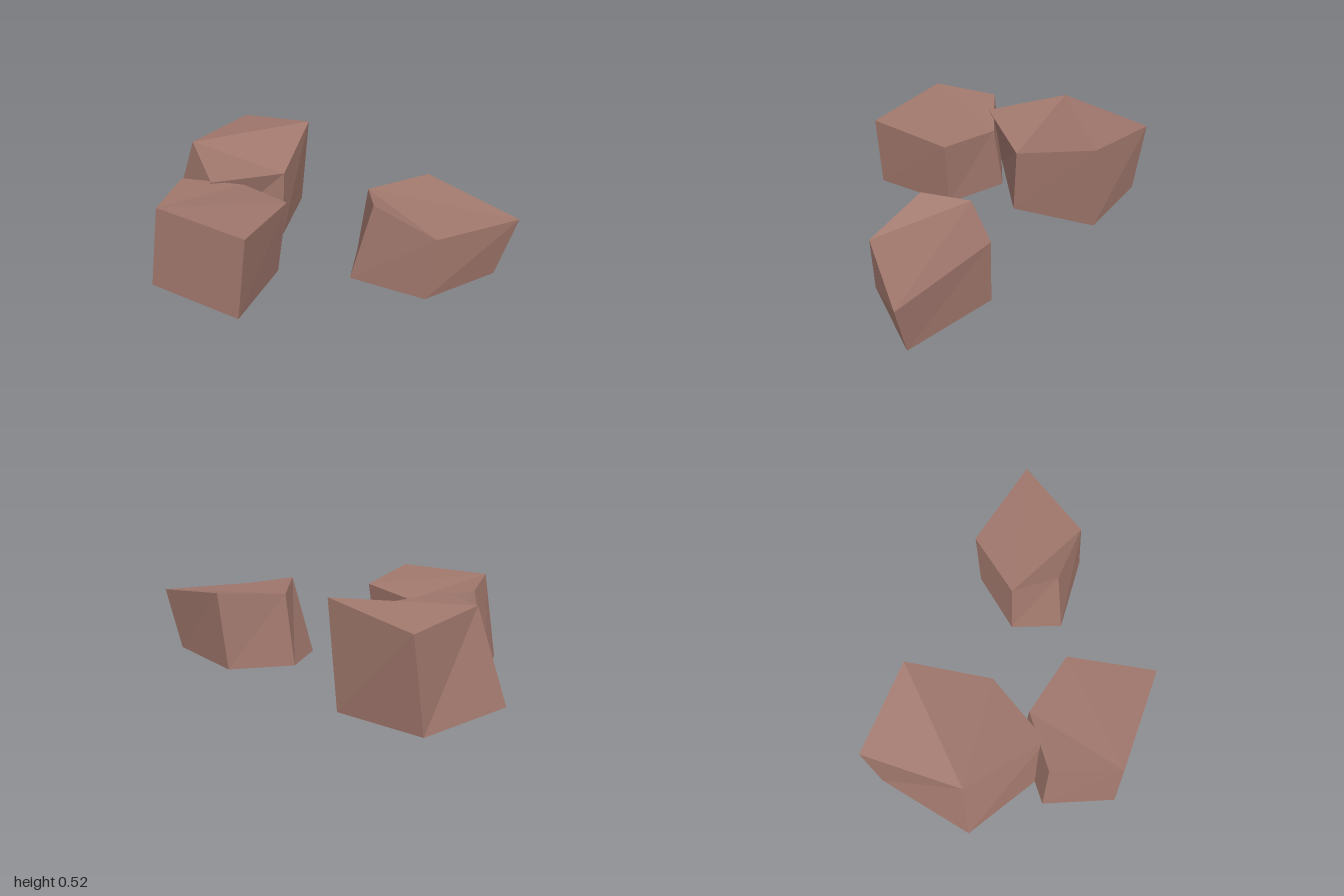
import * as THREE from 'three';

// Faceted boulder from two matching rings: base corners [x, z] and top corners [x, y, z],
// both running counter-clockwise seen from above.
function makeRock(name, base, top, material) {
  const b = base.map(([x, z]) => [x, 0, z]);
  const n = b.length;
  const pos = [];
  const tri = (...corners) => corners.forEach((c) => pos.push(...c));
  for (let i = 0; i < n; i++) {
    const j = (i + 1) % n;
    tri(b[i], b[j], top[j]);
    tri(b[i], top[j], top[i]);
  }
  // Top and bottom caps fan out from the first corner
  for (let i = 1; i < n - 1; i++) {
    tri(top[0], top[i], top[i + 1]);
    tri(b[0], b[i + 1], b[i]);
  }
  const geometry = new THREE.BufferGeometry();
  geometry.setAttribute('position', new THREE.Float32BufferAttribute(pos, 3));
  geometry.computeVertexNormals(); // unshared corners give flat faces
  const mesh = new THREE.Mesh(geometry, material);
  mesh.name = name;
  return mesh;
}

export function createModel() {
  const group = new THREE.Group();
  group.name = 'rocks';
  const stone = new THREE.MeshStandardMaterial({ color: 0xa0776c });
  stone.name = 'reddish brown stone';

  group.add(
    makeRock('frontRock',
      [[-0.7, 0.58], [-0.157, 0.68], [-0.155, 0.225], [-0.47, 0.04], [-0.785, 0.21]],
      [[-0.63, 0.457, 0.57], [-0.107, 0.445, 0.665], [-0.1, 0.412, 0.213], [-0.41, 0.39, 0.075], [-0.695, 0.443, 0.22]],
      stone),
    makeRock('backRock',
      [[-1, -0.14], [-0.68, 0.15], [-0.283, -0.125], [-0.357, -0.58], [-0.81, -0.645]],
      [[-0.85, 0.468, -0.165], [-0.547, 0.425, 0.18], [-0.27, 0.385, -0.135], [-0.3, 0.523, -0.565], [-0.77, 0.452, -0.685]],
      stone),
    makeRock('sideRock',
      [[0.165, -0.125], [0.22, 0.15], [0.63, 0.193], [0.905, -0.17], [0.43, -0.355]],
      [[0.217, 0.387, -0.125], [0.32, 0.424, 0.103], [0.663, 0.34, 0.177], [0.997, 0.334, -0.183], [0.475, 0.41, -0.37]],
      stone),
  );
  return group;
}
